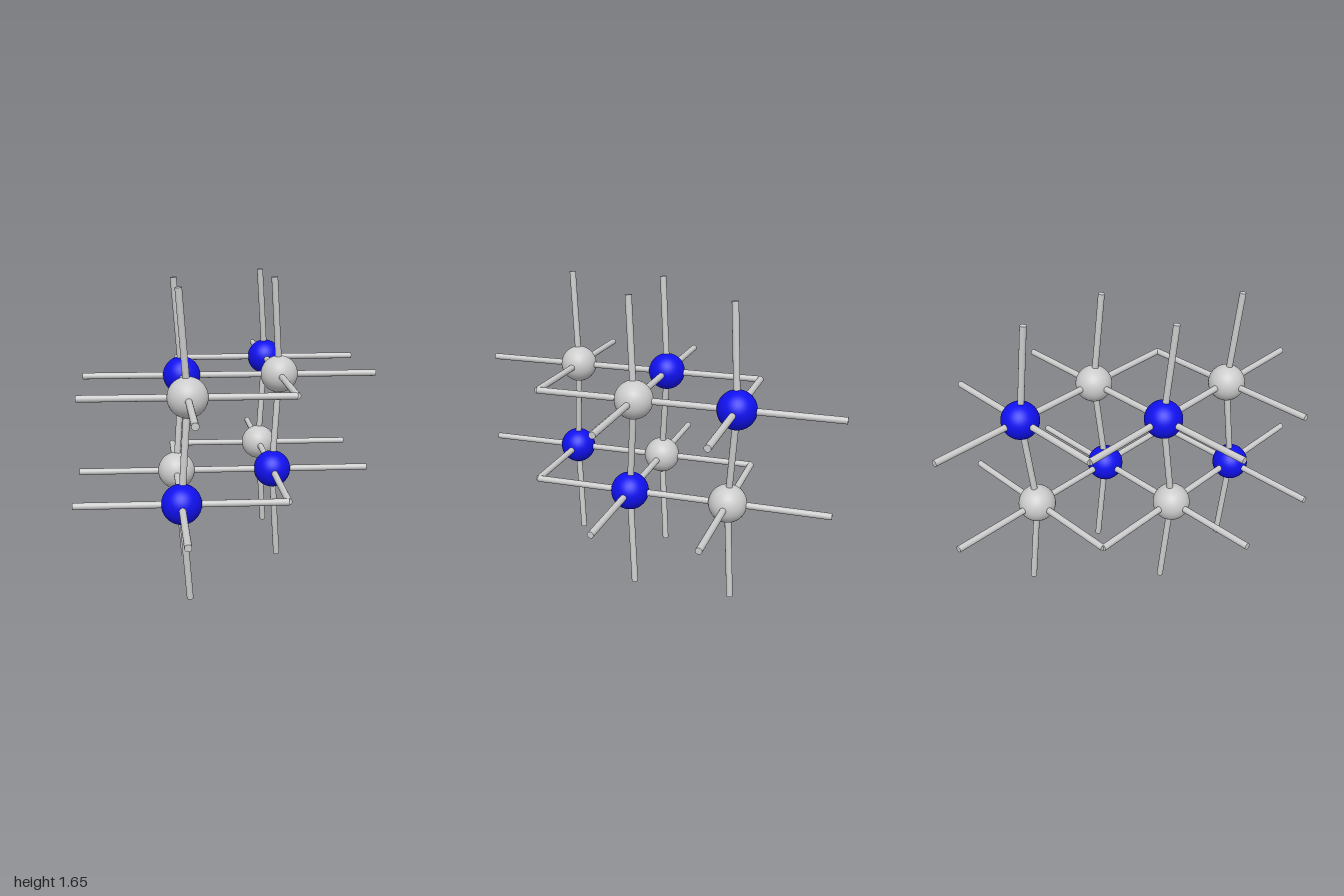
import * as THREE from 'three';

const ATOM_RADIUS = 0.105;
const BOND_RADIUS = 0.018;
const REACH_X = 0.4;
const REACH_Z = 0.381;

export function createModel() {
  const model = new THREE.Group();
  model.name = 'crystalLattice';

  const grey = new THREE.MeshStandardMaterial({ color: 0xcccccc });
  const blue = new THREE.MeshStandardMaterial({ color: 0x1010f0 });
  const atomGeometry = new THREE.SphereGeometry(ATOM_RADIUS, 40, 24);
  const up = new THREE.Vector3(0, 1, 0);
  const built = new Set();

  // Rod between two points; a bond shared by two atoms is built once
  function addBond(name, a, b) {
    const key = [a, b].map((p) => p.toArray().map((v) => Math.round(v * 100)).join()).sort().join('|');
    if (built.has(key)) return;
    built.add(key);
    const dir = b.clone().sub(a);
    const rod = new THREE.Mesh(new THREE.CylinderGeometry(BOND_RADIUS, BOND_RADIUS, dir.length(), 20), grey);
    rod.position.copy(a).add(b).multiplyScalar(0.5);
    rod.quaternion.setFromUnitVectors(up, dir.normalize());
    rod.name = name;
    model.add(rod);
  }

  // Two layers of four atoms in a zigzag, slightly shifted against each other
  const layers = [
    { y: 0.55, shift: 0.0275, blueSide: 1, outerY: 0.002 },
    { y: 1.1, shift: -0.0275, blueSide: -1, outerY: 1.648 },
  ];
  for (const { y, shift, blueSide, outerY } of layers) {
    for (let i = 0; i < 4; i++) {
      const side = i % 2 ? -1 : 1;
      const z = (1.5 - i) * REACH_Z;
      const centre = new THREE.Vector3(side * 0.2, y, z + shift);

      const atom = new THREE.Mesh(atomGeometry, side === blueSide ? blue : grey);
      atom.position.copy(centre);
      atom.name = side === blueSide ? 'blueAtom' : 'greyAtom';
      model.add(atom);

      // Four diagonal bonds within the layer
      for (const sx of [-1, 1]) {
        for (const sz of [-1, 1]) {
          addBond('layerBond', centre, centre.clone().add(new THREE.Vector3(sx * REACH_X, 0, sz * REACH_Z)));
        }
      }

      // Leaning upright bonds: one to the other layer, one outwards
      for (const endY of [1.65 - y, outerY]) {
        addBond('uprightBond', centre, new THREE.Vector3(centre.x, endY, z - shift));
      }
    }
  }
  return model;
}
